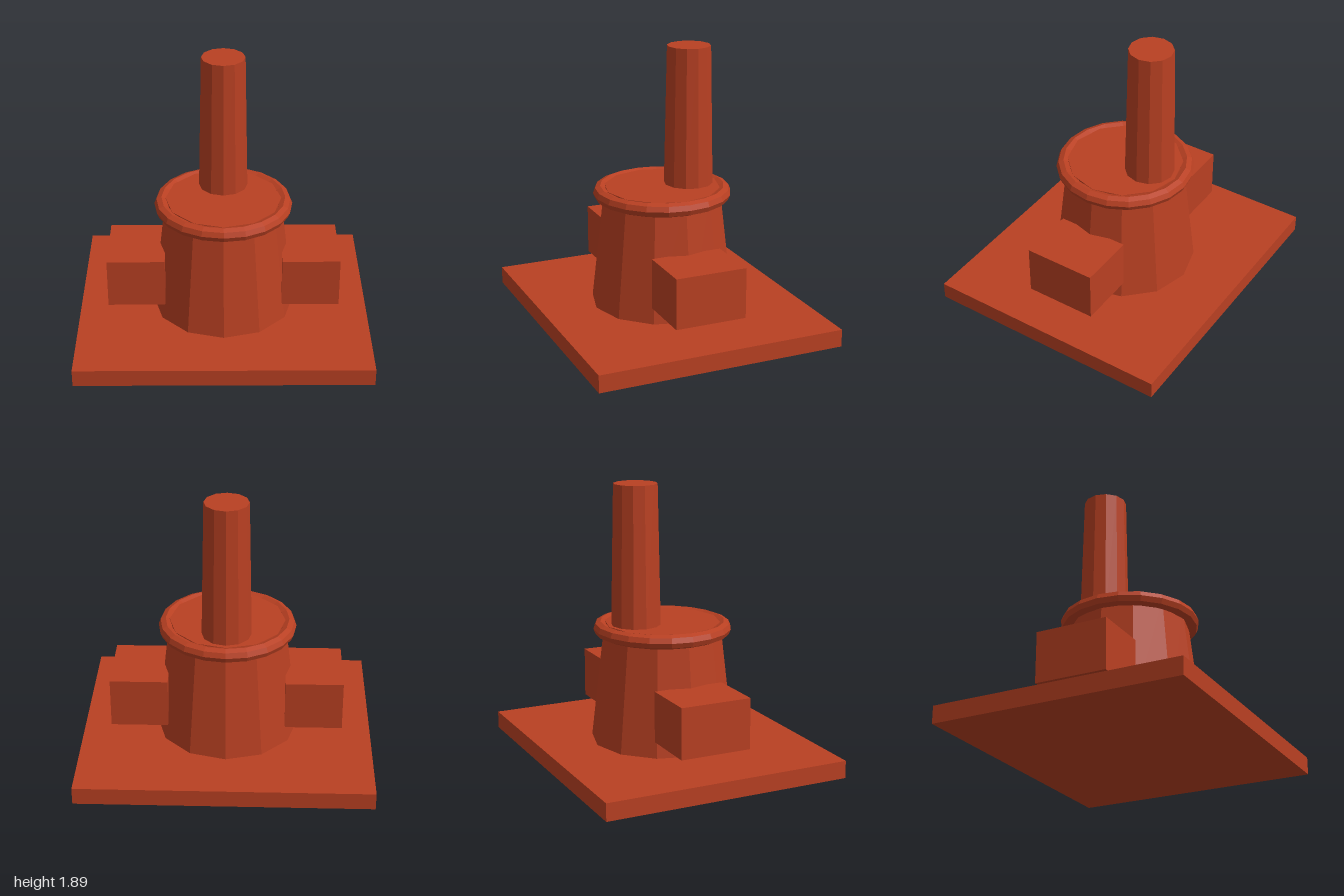
import * as THREE from 'three';

export function createModel() {
  const model = new THREE.Group();
  const rust = new THREE.MeshStandardMaterial({ color: 0xb94022, flatShading: true });
  rust.name = 'rustRed';

  const add = (name, geometry, x, y, z) => {
    const mesh = new THREE.Mesh(geometry, rust);
    mesh.name = name;
    mesh.position.set(x, y, z);
    model.add(mesh);
    return mesh;
  };

  // Tapered twelve-sided column between two heights
  const column = (name, rTop, rBottom, y0, y1, z) =>
    add(name, new THREE.CylinderGeometry(rTop, rBottom, y1 - y0, 12), 0, (y0 + y1) / 2, z);

  // Ground slab
  add('basePlate', new THREE.BoxGeometry(2, 0.12, 1.716), 0, 0.06, 0);

  // Main body and the chimney towards the back of its top
  column('body', 0.395, 0.49, 0.12, 0.938, 0);
  column('chimney', 0.148, 0.168, 0.93, 1.893, -0.197);

  // Rim around the top of the body
  const rim = new THREE.TorusGeometry(0.422, 0.049, 8, 20).rotateX(Math.PI / 2);
  add('rim', rim, 0, 0.898, 0);

  // Side blocks
  for (const [name, side] of [['leftBlock', 1], ['rightBlock', -1]]) {
    add(name, new THREE.BoxGeometry(0.395, 0.347, 0.496), side * 0.598, 0.403, 0);
  }

  return model;
}
